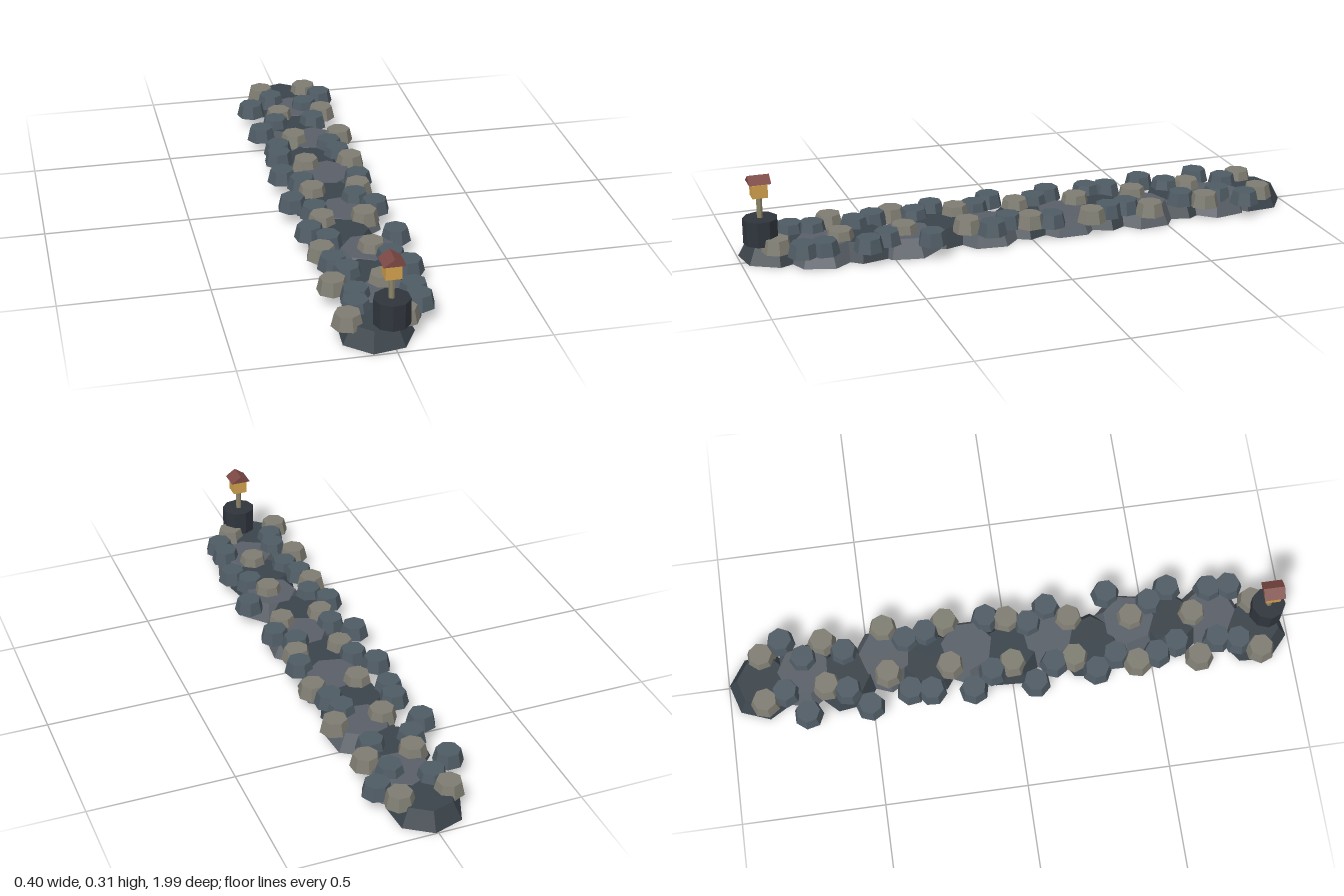
import * as THREE from 'three';

const mat = (name, color) => {
  const m = new THREE.MeshStandardMaterial({ color, flatShading: true });
  m.name = name;
  return m;
};

export function createModel() {
  const root = new THREE.Group();
  root.name = 'stoneJetty';
  const darkRock = mat('darkRock', 0x3b444b);
  const greyRock = mat('greyRock', 0x5a6068);
  const slate = mat('slate', 0x4f5b64);
  const paleStone = mat('paleStone', 0x7f7d72);
  const drumStone = mat('drumStone', 0x30353d);
  const wood = mat('wood', 0x8c8468);
  const lampGlow = mat('lampGlow', 0xd0a04c);
  const roofRed = mat('roofRed', 0x7c4844);

  const add = (name, geo, material, x, y, z, parent = root) => {
    const mesh = new THREE.Mesh(geo, material);
    mesh.name = name;
    mesh.position.set(x, y, z);
    parent.add(mesh);
    return mesh;
  };

  // Tapered seven-sided rock standing on y, turned by angle
  const rock = (name, rTop, rBottom, h, material, x, y, z, angle, parent) =>
    add(name, new THREE.CylinderGeometry(rTop, rBottom, h, 7, 1, false, angle), material, x, y + h / 2, z, parent);

  // Foundation rocks, alternating dark and grey from back to front
  const foundation = new THREE.Group();
  foundation.name = 'foundation';
  root.add(foundation);
  const baseX = [-0.01, 0.01, -0.02, 0.03, 0, 0.02, -0.01, 0.03, -0.02, 0.04, 0.02, 0.03, -0.04];
  baseX.forEach((x, i) => {
    const dark = i % 2 === 0;
    const angle = i === 0 ? Math.PI - 0.15 : i === 12 ? -0.28 : i * 1.3;
    rock('foundationRock', 0.092, 0.125, dark ? 0.062 : 0.0635, dark ? darkRock : greyRock,
      x, 0, -0.875 + i * 0.1458, angle, foundation);
  });

  // Two rows of edge stones; every third pair is pale, null marks a gap
  const leftEdge = [0.08, 0.127, 0.053, 0.106, 0.058, null, 0.127, 0.074, 0.09, 0.122, null, 0.116, 0.1,
    0.074, 0.127, 0.074, null, 0.148, 0.048, 0.095, 0.138, 0.032, 0.116, 0.116, 0.048];
  const rightEdge = [-0.09, -0.063, -0.153, -0.058, -0.085, -0.153, -0.042, -0.116, -0.127, -0.042, -0.143,
    -0.085, -0.063, -0.148, -0.085, -0.074, -0.132, -0.085, -0.122, -0.1, -0.069, -0.132, -0.074, -0.09, -0.132];
  [leftEdge, rightEdge].forEach((row, side) => {
    const group = new THREE.Group();
    group.name = side ? 'rightEdgeStones' : 'leftEdgeStones';
    root.add(group);
    row.forEach((x, i) => {
      if (x === null) return;
      rock('edgeStone', 0.042, 0.053, 0.047, i % 3 === 0 ? paleStone : slate,
        x, 0.047, -0.873 + i * 0.0732, i * 0.7 + side * 0.4, group);
    });
  });

  // Lantern on its drum at the front end
  const lantern = new THREE.Group();
  lantern.name = 'lantern';
  lantern.position.set(-0.004, 0, 0.927);
  root.add(lantern);
  add('drum', new THREE.CylinderGeometry(0.06, 0.06, 0.088, 9, 1, false, -Math.PI / 2), drumStone, 0.002, 0.111, 0, lantern);
  add('post', new THREE.CylinderGeometry(0.01, 0.01, 0.08, 7), wood, 0, 0.193, 0, lantern);
  add('lampBox', new THREE.BoxGeometry(0.052, 0.045, 0.052), lampGlow, 0, 0.2525, 0, lantern);

  // Gable roof with its ridge along z
  const gable = new THREE.Shape([
    new THREE.Vector2(-0.036, 0), new THREE.Vector2(0.036, 0), new THREE.Vector2(0, 0.025),
  ]);
  const roof = new THREE.ExtrudeGeometry(gable, { depth: 0.074, bevelEnabled: false });
  add('roof', roof, roofRed, 0, 0.28, -0.037, lantern);

  return root;
}
